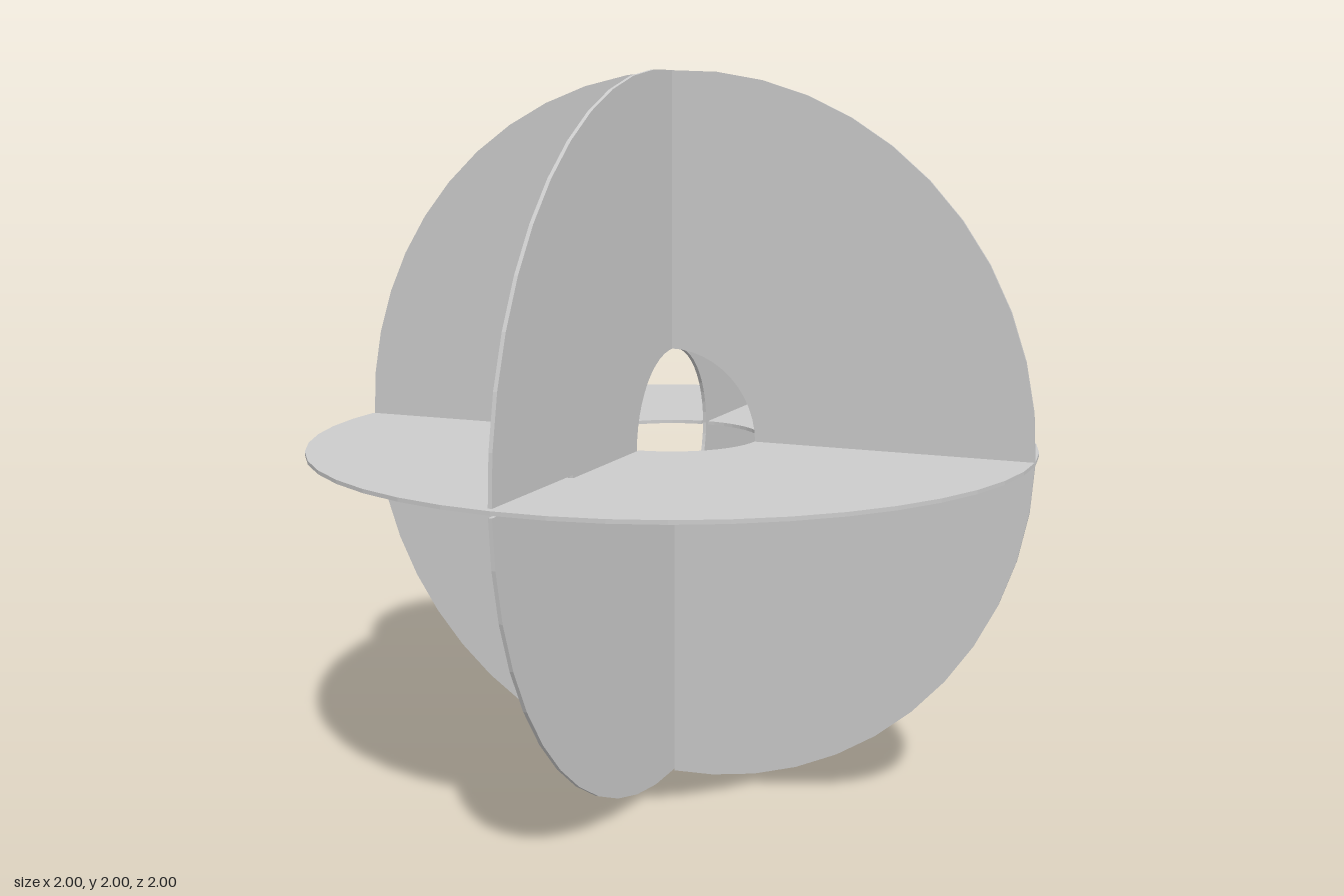
import * as THREE from 'three';

const OUTER = 1, HOLE = 0.25, THICK = 0.01, SLOT = 0.0105, STEP = 7.5;

// Point at radius r along an angle (degrees), shifted sideways to a slot wall
function wall(r, deg, side) {
  const a = THREE.MathUtils.degToRad(deg);
  const d = Math.sqrt(r * r - SLOT * SLOT), s = side * SLOT;
  return new THREE.Vector2(d * Math.cos(a) - s * Math.sin(a), d * Math.sin(a) + s * Math.cos(a));
}

// Arc between two slot walls, with notches cut to radius depth at the given angles
function arc(r, from, to, notches, depth) {
  const points = [wall(r, from, 1)];
  for (let deg = from + STEP; deg < to; deg += STEP) {
    if (notches.includes(deg)) {
      points.push(wall(r, deg, -1), wall(depth, deg, -1), wall(depth, deg, 1), wall(r, deg, 1));
    } else {
      const a = THREE.MathUtils.degToRad(deg);
      points.push(new THREE.Vector2(r * Math.cos(a), r * Math.sin(a)));
    }
  }
  points.push(wall(r, to, -1));
  return points;
}

// Flat ring segment with optional notches in its outer rim or in the hole
function plate(name, from, to, { outer = [], inner = [] } = {}) {
  const outline = [
    ...arc(OUTER, from, to, outer, 0.62),
    ...arc(HOLE, from, to, inner, 0.63).reverse(),
  ];
  const geometry = new THREE.ExtrudeGeometry(new THREE.Shape(outline), { depth: THICK, bevelEnabled: false });
  geometry.translate(0, 0, -THICK / 2);
  const mesh = new THREE.Mesh(geometry, new THREE.MeshStandardMaterial({ color: 0xcccccc }));
  mesh.name = name;
  mesh.position.y = 1;
  return mesh;
}

export function createModel() {
  const group = new THREE.Group();
  group.name = 'interlockingDiscs';

  // Front-facing disc, slotted open at the bottom
  group.add(plate('frontDisc', -90, 270));

  // Side-facing disc, slotted open at the top and notched at front and back
  const side = plate('sideDisc', 90, 450, { outer: [180, 360] });
  side.rotation.y = Math.PI / 2;
  group.add(side);

  // Horizontal disc in two halves, each notched from the hole outwards
  [['frontHalfDisc', 0], ['backHalfDisc', 180]].forEach(([name, start]) => {
    const half = plate(name, start, start + 180, { inner: [start + 90] });
    half.rotation.x = Math.PI / 2;
    group.add(half);
  });

  return group;
}
